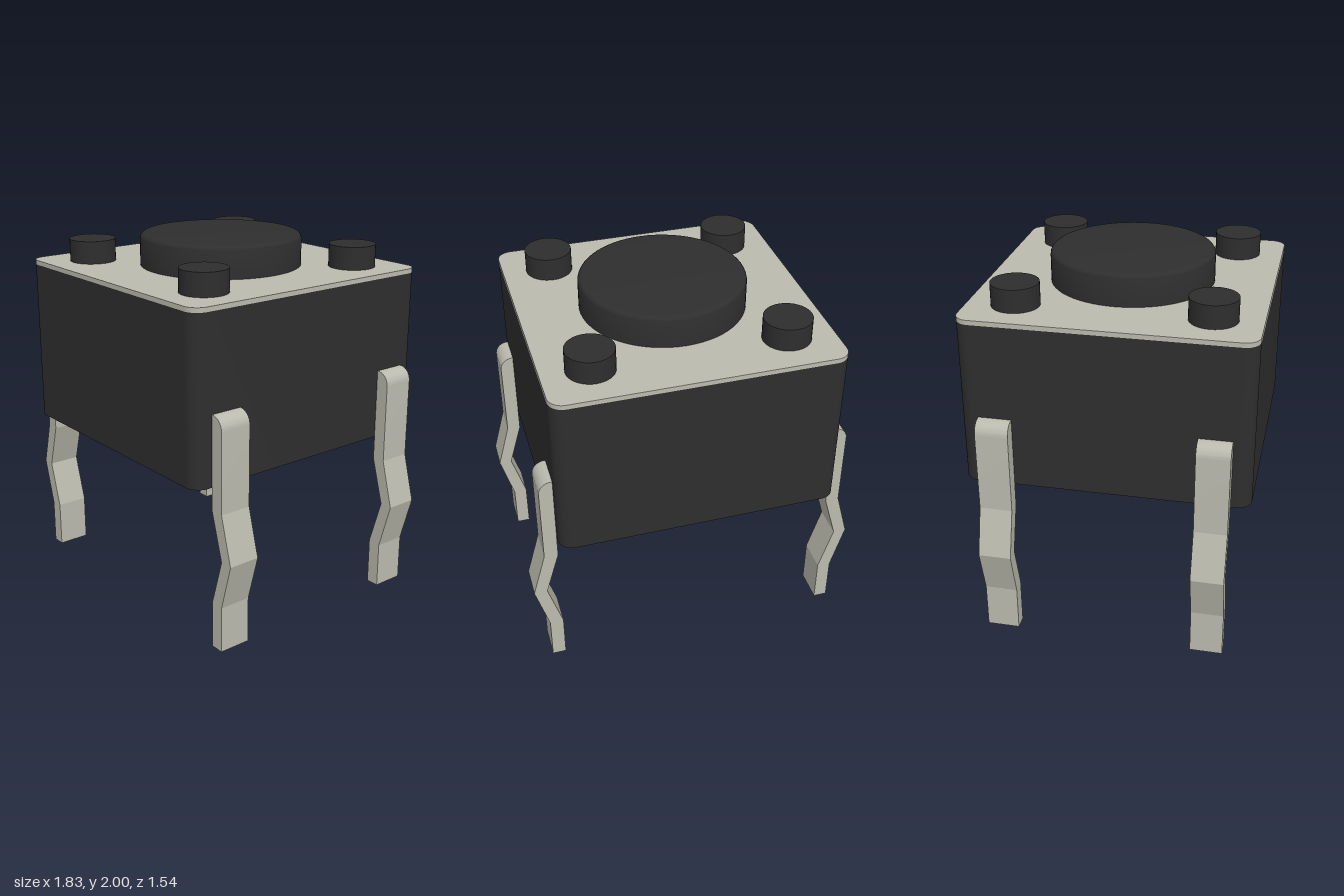
import * as THREE from 'three';
import { toCreasedNormals } from 'three/addons/utils/BufferGeometryUtils.js';

const HALF = 0.77, CORNER = 0.08;

// Square with rounded corners, extruded upward from y = 0
function roundedSlab(half, radius, height) {
  const s = new THREE.Shape();
  const c = half - radius;
  s.absarc(c, c, radius, 0, Math.PI / 2);
  s.absarc(-c, c, radius, Math.PI / 2, Math.PI);
  s.absarc(-c, -c, radius, Math.PI, Math.PI * 1.5);
  s.absarc(c, -c, radius, Math.PI * 1.5, Math.PI * 2);
  const g = new THREE.ExtrudeGeometry(s, { depth: height, bevelEnabled: false, curveSegments: 10 });
  g.rotateX(-Math.PI / 2);
  return toCreasedNormals(g, 0.5);
}

// Kinked strip with a rounded outer top corner, centred on z = 0
function legGeometry(width) {
  const s = new THREE.Shape();
  s.moveTo(0.77, 0);
  s.lineTo(0.845, 0);
  s.lineTo(0.845, 0.255);
  s.lineTo(0.917, 0.515);
  s.lineTo(0.845, 0.775);
  s.lineTo(0.845, 1.215);
  s.absarc(0.775, 1.215, 0.07, 0, Math.PI / 2);
  s.lineTo(0.75, 1.285);
  s.lineTo(0.75, 0.92);
  s.lineTo(0.77, 0.92);
  s.lineTo(0.77, 0.77);
  s.lineTo(0.845, 0.515);
  s.lineTo(0.77, 0.26);
  const g = new THREE.ExtrudeGeometry(s, { depth: width, bevelEnabled: false, curveSegments: 8 });
  g.translate(0, 0, -width / 2);
  return toCreasedNormals(g, 0.25);
}

export function createModel() {
  const model = new THREE.Group();
  model.name = 'pushSwitch';
  const black = new THREE.MeshStandardMaterial({ color: 0x2e2e2e });
  black.name = 'blackPlastic';
  const metal = new THREE.MeshStandardMaterial({ color: 0xbabaae });
  metal.name = 'paleMetal';

  const add = (name, geometry, material, x = 0, y = 0, z = 0) => {
    const mesh = new THREE.Mesh(geometry, material);
    mesh.name = name;
    mesh.position.set(x, y, z);
    model.add(mesh);
    return mesh;
  };

  // Housing and cover plate
  add('housing', roundedSlab(HALF, CORNER, 0.9), black, 0, 0.9, 0);
  add('coverPlate', roundedSlab(HALF, CORNER, 0.025), metal, 0, 1.8, 0);

  // Round plunger with a softened top edge
  const R = 0.447, edge = 0.03;
  const profile = [new THREE.Vector2(R, 1.81)];
  for (let i = 0; i <= 5; i++) {
    const a = (i / 5) * Math.PI / 2;
    profile.push(new THREE.Vector2(R - edge + edge * Math.cos(a), 2 - edge + edge * Math.sin(a)));
  }
  profile.push(new THREE.Vector2(0, 2));
  add('plunger', toCreasedNormals(new THREE.LatheGeometry(profile, 64), 0.5), black);

  // Corner rivets and legs
  const rivet = new THREE.CylinderGeometry(0.128, 0.128, 0.14, 40);
  const leg = legGeometry(0.178);
  for (const sx of [1, -1]) {
    for (const sz of [1, -1]) {
      const place = (sx > 0 ? 'Left' : 'Right') + (sz > 0 ? 'Front' : 'Back');
      add('rivet' + place, rivet, black, sx * 0.513, 1.88, sz * 0.513);
      add('leg' + place, leg, metal, 0, 0, sz * 0.577).rotation.y = sx > 0 ? 0 : Math.PI;
    }
  }
  return model;
}
